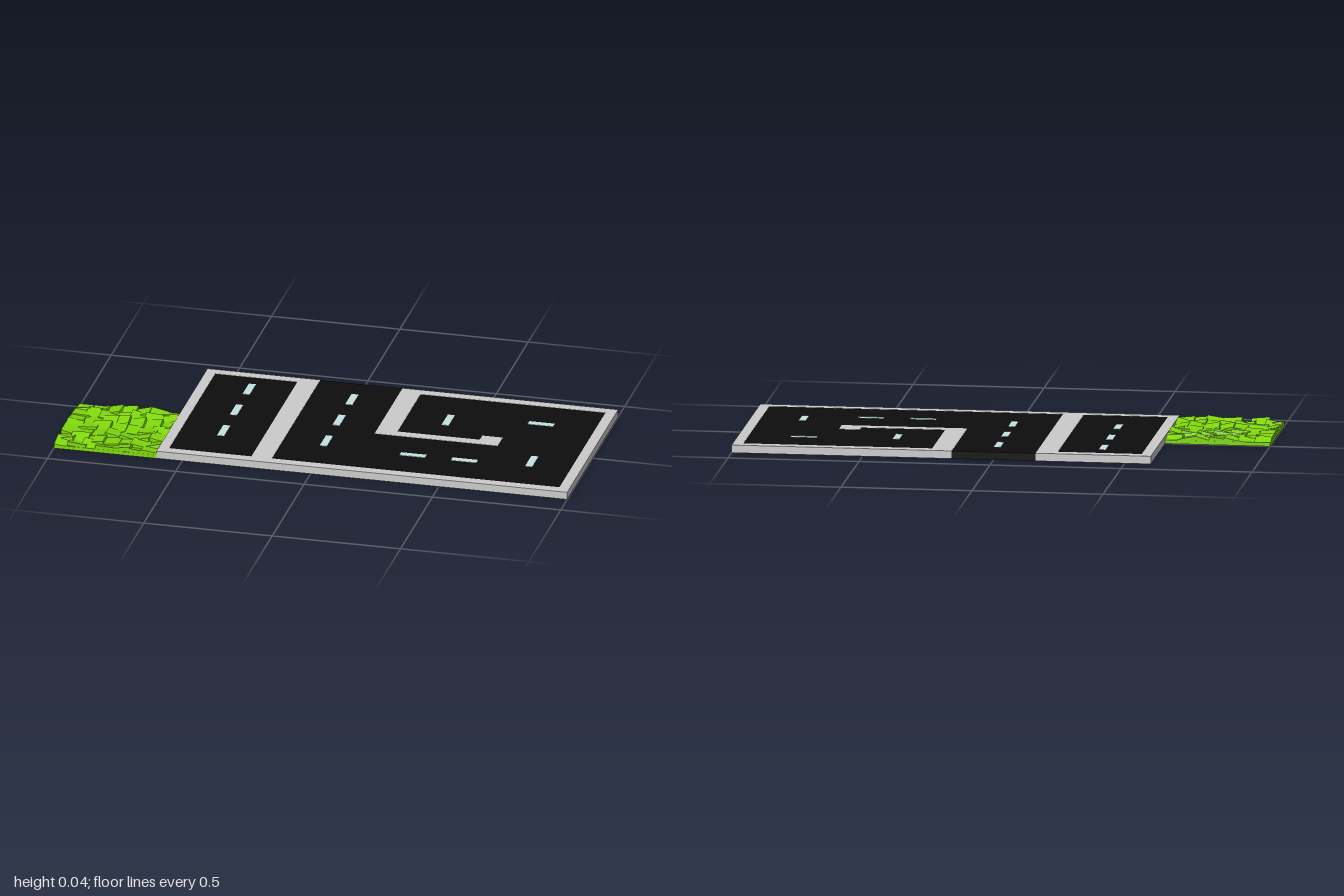
import * as THREE from 'three';
import { mergeGeometries } from 'three/addons/utils/BufferGeometryUtils.js';

const material = (color) => new THREE.MeshStandardMaterial({ color, flatShading: true });

// Box given by its x, y and z ranges
function block(x0, x1, y0, y1, z0, z1) {
  return new THREE.BoxGeometry(x1 - x0, y1 - y0, z1 - z0)
    .translate((x0 + x1) / 2, (y0 + y1) / 2, (z0 + z1) / 2);
}

function seeded(seed) {
  return () => (seed = (seed * 16807) % 2147483647) / 2147483647;
}

export function createModel() {
  const group = new THREE.Group();
  const add = (name, geometries, mat) => {
    const mesh = new THREE.Mesh(mergeGeometries(geometries), mat);
    mesh.name = name;
    group.add(mesh);
  };

  // Asphalt slab, nearly flush with the kerb tops
  add('asphalt', [block(-0.599, 0.999, 0, 0.029, -0.399, 0.399)], material(0x0d0d0d));

  // Kerbs as [x0, x1, z0, z1]; the back is open between x = -0.16 and 0.16
  const kerbs = [
    [-0.6, -0.56, -0.4, 0.4],   // outer right
    [0.96, 1, -0.4, 0.4],       // outer left
    [-0.56, 0.96, 0.36, 0.4],   // front
    [-0.56, -0.24, -0.4, -0.36], // back of the separate lane
    [0.24, 0.96, -0.4, -0.36],  // back of the loop
    [-0.24, -0.16, -0.4, 0.36], // lane divider
    [0.16, 0.24, -0.4, 0.04],   // loop divider
    [0.24, 0.64, 0, 0.04],      // loop divider arm
    [0.56, 0.64, -0.04, 0],     // hook at the end of the arm
  ];
  add('kerbs', kerbs.map(([x0, x1, z0, z1]) => block(x0, x1, 0.0005, 0.03, z0, z1)), material(0xcccccc));

  // Lane dashes as [x, z], lengthwise and crosswise
  const lengthwise = [[0.4, -0.15], [0.8, 0.15]];
  for (const x of [-0.4, 0]) for (const z of [-0.25, -0.05, 0.15]) lengthwise.push([x, z]);
  const crosswise = [[0.35, 0.2], [0.55, 0.2], [0.75, -0.2]];
  const dash = (w, d) => ([x, z]) =>
    block(x - w / 2, x + w / 2, 0.027, 0.0303, z - d / 2, z + d / 2);
  add('laneDashes', [...lengthwise.map(dash(0.028, 0.1)), ...crosswise.map(dash(0.1, 0.028))],
    material(0xc4e2e2));

  // Grass: a thin base covered with small tilted tiles, trimmed to the plot
  const random = seeded(4217);
  const spread = (amount) => (random() - 0.5) * 2 * amount;
  const tiles = [block(-1, -0.6, 0, 0.014, 0, 0.4)];
  const count = 7;
  const step = 0.4 / count;
  for (let i = 0; i < count; i++) {
    for (let j = 0; j < count; j++) {
      const tile = new THREE.BoxGeometry(0.07, 0.016, 0.07);
      tile.rotateX(spread(0.28)).rotateZ(spread(0.28));
      tile.translate(
        -1 + (i + 0.5) * step + spread(0.008),
        0.013 + spread(0.003),
        (j + 0.5) * step + spread(0.008));
      const p = tile.attributes.position;
      for (let k = 0; k < p.count; k++) {
        p.setXYZ(k,
          THREE.MathUtils.clamp(p.getX(k), -0.9995, -0.6005),
          THREE.MathUtils.clamp(p.getY(k), 0.001, 0.04),
          THREE.MathUtils.clamp(p.getZ(k), 0.0005, 0.3995));
      }
      tile.computeVertexNormals();
      tiles.push(tile);
    }
  }
  add('grass', tiles, material(0x80d80c));

  return group;
}
